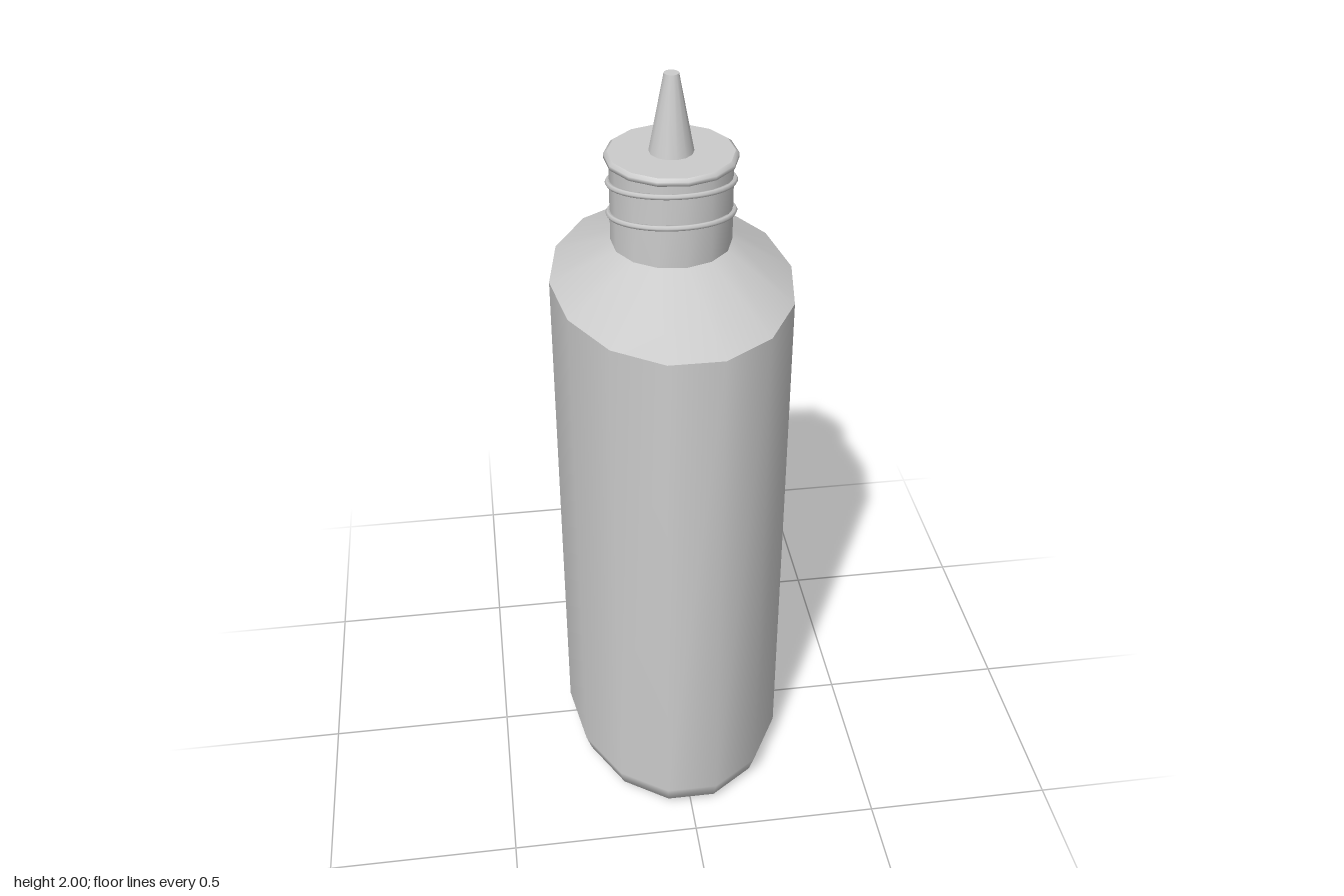
import * as THREE from 'three';

const SIDES = 14;
const TWIST = 0.12; // turn of the neck against the body

// Skin through stacked elliptical rings [y, rx, rz, turn], listed bottom to top
// on the outside; normals are smooth within one skin and sharp between skins.
function loft(rings) {
  const pos = [], idx = [];
  for (const [y, rx, rz, turn = 0] of rings) {
    for (let i = 0; i < SIDES; i++) {
      const a = (i / SIDES) * Math.PI * 2 + turn;
      pos.push(rx * Math.cos(a), y, rz * Math.sin(a));
    }
  }
  for (let r = 0; r < rings.length - 1; r++) {
    for (let i = 0; i < SIDES; i++) {
      const j = (i + 1) % SIDES;
      const a = r * SIDES + i, b = r * SIDES + j;
      idx.push(a, a + SIDES, b, b, a + SIDES, b + SIDES);
    }
  }
  const g = new THREE.BufferGeometry();
  g.setAttribute('position', new THREE.Float32BufferAttribute(pos, 3));
  g.setIndex(idx);
  g.computeVertexNormals();
  return g;
}

// Closed ring tilted so that it sits higher at the front
function tiltedRing(y) {
  const pts = [];
  for (let i = 0; i < SIDES; i++) {
    const a = (i / SIDES) * Math.PI * 2 + TWIST;
    pts.push(new THREE.Vector3(0.153 * Math.cos(a), y + 0.03 * Math.sin(a), 0.157 * Math.sin(a)));
  }
  return new THREE.TubeGeometry(new THREE.CatmullRomCurve3(pts, true), 42, 0.007, 6, true);
}

export function createModel() {
  const model = new THREE.Group();
  model.name = 'squeezeBottle';
  const material = new THREE.MeshStandardMaterial({ color: 0xcccccc });
  const add = (name, geometry) => {
    const mesh = new THREE.Mesh(geometry, material);
    mesh.name = name;
    model.add(mesh);
  };

  // Oval body with a rounded foot
  add('base', loft([[0, 0, 0], [0, 0.245, 0.373]]));
  add('body', loft([
    [0, 0.245, 0.373],
    [0.025, 0.288, 0.416],
    [0.075, 0.305, 0.433],
    [1.475, 0.305, 0.433],
  ]));
  add('shoulder', loft([[1.475, 0.305, 0.433], [1.575, 0.15, 0.156, TWIST]]));

  // Round neck, rim and flat lid
  add('neck', loft([[1.575, 0.15, 0.156, TWIST], [1.79, 0.15, 0.156, TWIST]]));
  add('rim', loft([
    [1.788, 0.15, 0.156, TWIST],
    [1.791, 0.162, 0.167, TWIST],
    [1.801, 0.162, 0.167, TWIST],
    [1.808, 0.153, 0.159, TWIST],
  ]));
  add('lid', loft([[1.808, 0.153, 0.159, TWIST], [1.808, 0, 0, TWIST]]));

  // Screw thread rings
  [1.652, 1.732].forEach((y, i) => add(`threadRing${i + 1}`, tiltedRing(y)));

  // Pointed nozzle with a blunt tip
  add('nozzle', loft([[1.806, 0.055, 0.058, TWIST], [2, 0.018, 0.019, TWIST]]));
  add('nozzleTip', loft([[2, 0.018, 0.019, TWIST], [2, 0, 0, TWIST]]));

  return model;
}
